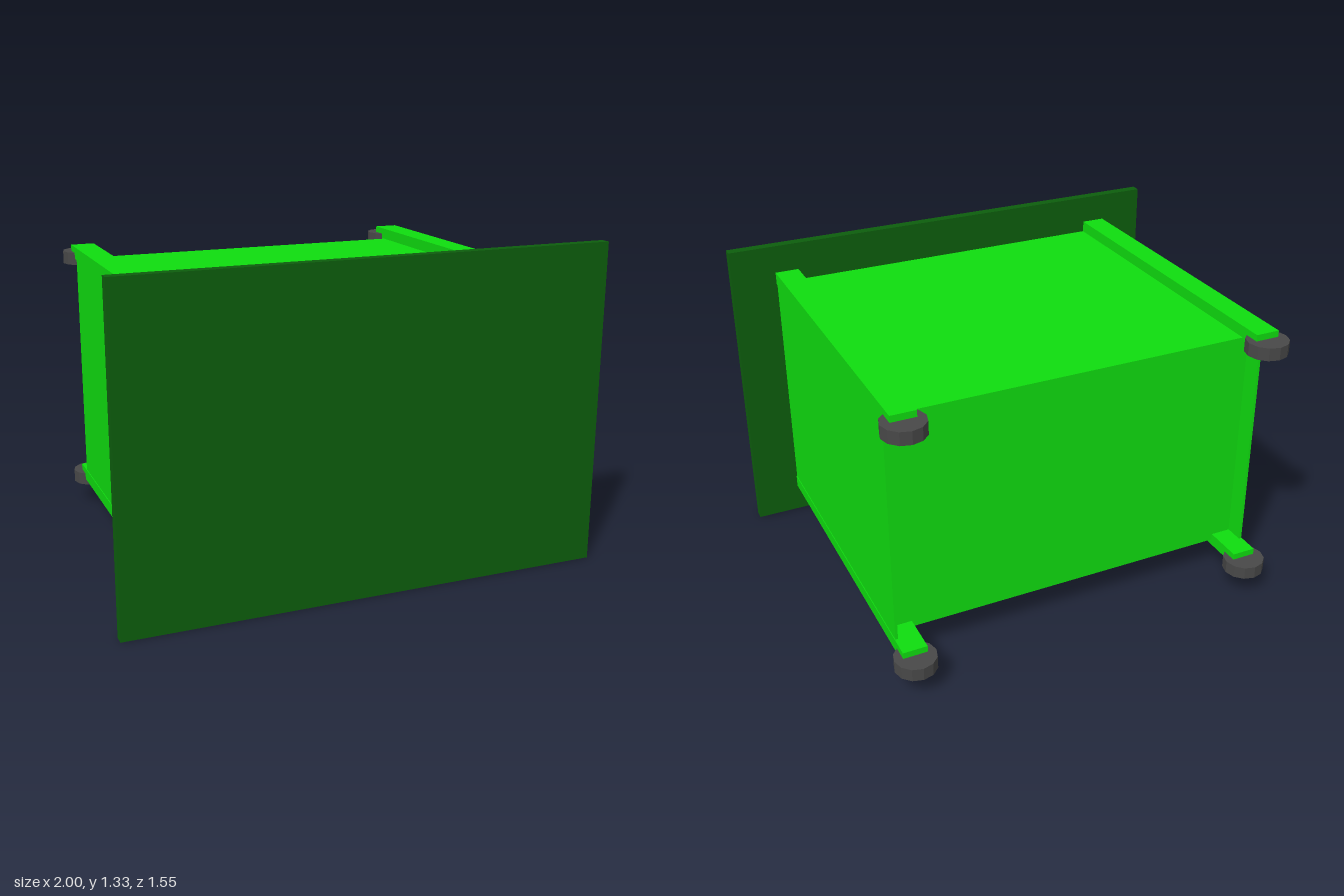
import * as THREE from 'three';

const green = new THREE.MeshStandardMaterial({ color: 0x0fdd0f });
const darkGreen = new THREE.MeshStandardMaterial({ color: 0x0d5e0d });
const darkGrey = new THREE.MeshStandardMaterial({ color: 0x484848, flatShading: true });

// Box given by its extents along each axis
function box(name, [x0, x1], [y0, y1], [z0, z1], material) {
  const mesh = new THREE.Mesh(new THREE.BoxGeometry(x1 - x0, y1 - y0, z1 - z0), material);
  mesh.name = name;
  mesh.position.set((x0 + x1) / 2, (y0 + y1) / 2, (z0 + z1) / 2);
  return mesh;
}

export function createModel() {
  const model = new THREE.Group();
  model.name = 'cabinet';

  // Large front board
  model.add(box('frontPanel', [-1, 1], [0, 1.333], [0.735, 0.777], darkGreen));

  // Thin top sheet under the upper rails, open underneath
  model.add(box('topPanel', [-0.8, 0.8], [1.15, 1.165], [-0.6, 0.735], green));

  // Cross walls: inset back and inner divider
  model.add(box('backPanel', [-0.795, 0.795], [0.15, 1.15], [-0.52, -0.505], green));
  model.add(box('divider', [-0.795, 0.795], [0.15, 1.15], [0.155, 0.17], green));

  for (const side of [-1, 1]) {
    const label = side > 0 ? 'left' : 'right';
    const span = (a, b) => (side > 0 ? [a, b] : [-b, -a]);

    // Side sheet
    model.add(box(label + 'SidePanel', span(0.793, 0.804), [0.127, 1.207], [-0.6, 0.735], green));

    // Upper and lower rails, each with a disc under its rear end
    for (const [level, y] of [['Lower', 0.125], ['Upper', 1.16]]) {
      model.add(box(label + level + 'Rail', span(0.705, 0.807), [y, y + 0.053], [-0.69, 0.735], green));
      const disc = new THREE.Mesh(new THREE.CylinderGeometry(0.087, 0.087, 0.054, 12), darkGrey);
      disc.name = label + level + 'Disc';
      disc.position.set(side * 0.757, y - 0.001, -0.69);
      model.add(disc);
    }
  }
  return model;
}
